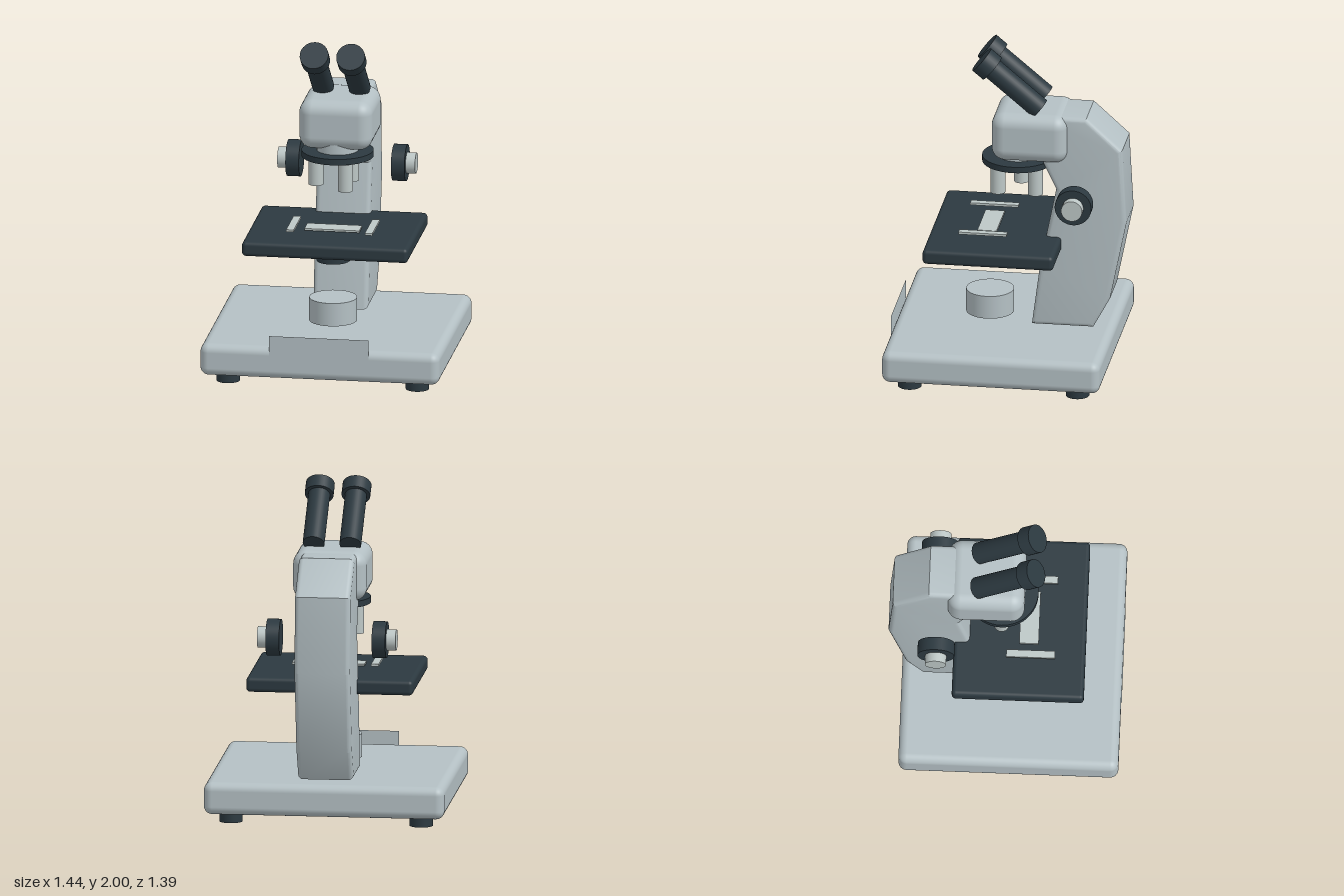
import * as THREE from 'three';
import { toCreasedNormals } from 'three/addons/utils/BufferGeometryUtils.js';
import { RoundedBoxGeometry } from 'three/addons/geometries/RoundedBoxGeometry.js';

export function createModel() {
  const model = new THREE.Group();
  model.name = 'microscope';

  const makeMaterial = (name, color, extra = {}) => {
    const m = new THREE.MeshStandardMaterial({ color, ...extra });
    m.name = name;
    return m;
  };
  const body = makeMaterial('pale grey enamel', 0xb4c0c4, { side: THREE.DoubleSide });
  const dark = makeMaterial('dark slate', 0x2c3940);
  const metal = makeMaterial('light metal', 0xbdc7c6);

  const add = (name, geometry, material, x, y, z, parent = model) => {
    const mesh = new THREE.Mesh(geometry, material);
    mesh.name = name;
    mesh.position.set(x, y, z);
    parent.add(mesh);
    return mesh;
  };
  const cylinder = (r, h, sides = 32) => new THREE.CylinderGeometry(r, r, h, sides);

  // Base, feet and front plate
  add('base', new RoundedBoxGeometry(1.44, 0.195, 1.31, 5, 0.05), body, 0, 0.158, 0.035);
  for (const x of [-0.57, 0.57]) {
    for (const z of [0.54, -0.47]) add('foot', cylinder(0.07, 0.065), dark, x, 0.0325, z);
  }
  add('frontPlate', new THREE.PlaneGeometry(0.6, 0.2), body, 0, 0.23, 0.693);

  // Lamp on the base
  add('lamp', cylinder(0.143, 0.142), body, 0, 0.354, 0.142);

  // Arm: side profile as (z, y), extruded across x with rounded edges
  const profile = [
    [-0.13, 0.27], [-0.5, 0.27], [-0.6, 0.455], [-0.7, 0.95], [-0.675, 1.41],
    [-0.46, 1.605], [-0.2, 1.605], [-0.2, 1.3], [-0.277, 1.14], [-0.18, 0.655],
  ];
  const armWidth = 0.332, bevel = 0.03;
  const arm = new THREE.ExtrudeGeometry(
    new THREE.Shape(profile.map(([z, y]) => new THREE.Vector2(z, y))),
    {
      depth: armWidth - 2 * bevel, bevelEnabled: true, bevelThickness: bevel,
      bevelSize: bevel, bevelOffset: -bevel, bevelSegments: 5,
    },
  );
  arm.translate(0, 0, bevel - armWidth / 2).rotateY(-Math.PI / 2);
  add('arm', toCreasedNormals(arm, 0.36), body, 0, 0, 0);

  // Head, neck and revolving nosepiece
  const turretZ = -0.027;
  add('head', new RoundedBoxGeometry(0.44, 0.3, 0.46, 6, 0.08), body, 0, 1.465, -0.12);
  add('neck', cylinder(0.125, 0.12), body, 0, 1.34, turretZ);
  add('nosepiece', cylinder(0.215, 0.037, 48), dark, 0, 1.273, turretZ);
  for (let i = 0; i < 3; i++) {
    const a = Math.PI + (i * Math.PI * 2) / 3;
    add('objective', cylinder(0.045, 0.17, 24), metal,
      0.13 * Math.cos(a), 1.155, turretZ + 0.13 * Math.sin(a));
  }

  // Stage with slide, clips, condenser and cross rod
  add('stage', new RoundedBoxGeometry(1, 0.09, 0.787, 4, 0.025), dark, 0, 0.795, 0.083);
  add('slide', new THREE.BoxGeometry(0.33, 0.012, 0.115), metal, 0, 0.851, 0.137);
  for (const s of [-1, 1]) {
    add('stageClip', new THREE.BoxGeometry(0.045, 0.014, 0.29), metal, s * 0.237, 0.868, 0.15);
  }
  add('condenser', cylinder(0.1, 0.086), dark, 0, 0.696, 0.14);
  add('stageRod', cylinder(0.025, 0.81, 20), metal, 0, 0.743, 0.193).rotation.z = Math.PI / 2;

  // Coarse and fine focus knobs on both sides
  for (const s of [-1, 1]) {
    add('coarseKnob', cylinder(0.11, 0.081, 40), dark, s * 0.318, 1.11, -0.41)
      .rotation.z = Math.PI / 2;
    add('fineKnob', cylinder(0.063, 0.1, 32), metal, s * 0.365, 1.11, -0.41)
      .rotation.z = Math.PI / 2;
  }

  // Eyepieces leaning forward out of the head
  for (const s of [-1, 1]) {
    const eyepiece = new THREE.Group();
    eyepiece.name = 'eyepiece';
    eyepiece.position.set(s * 0.11, 1.636, -0.173);
    eyepiece.rotation.x = THREE.MathUtils.degToRad(50);
    add('eyeTube', cylinder(0.065, 0.4), dark, 0, 0.2, 0, eyepiece);
    add('eyeCup', cylinder(0.086, 0.084), dark, 0, 0.415, 0, eyepiece);
    model.add(eyepiece);
  }

  return model;
}
